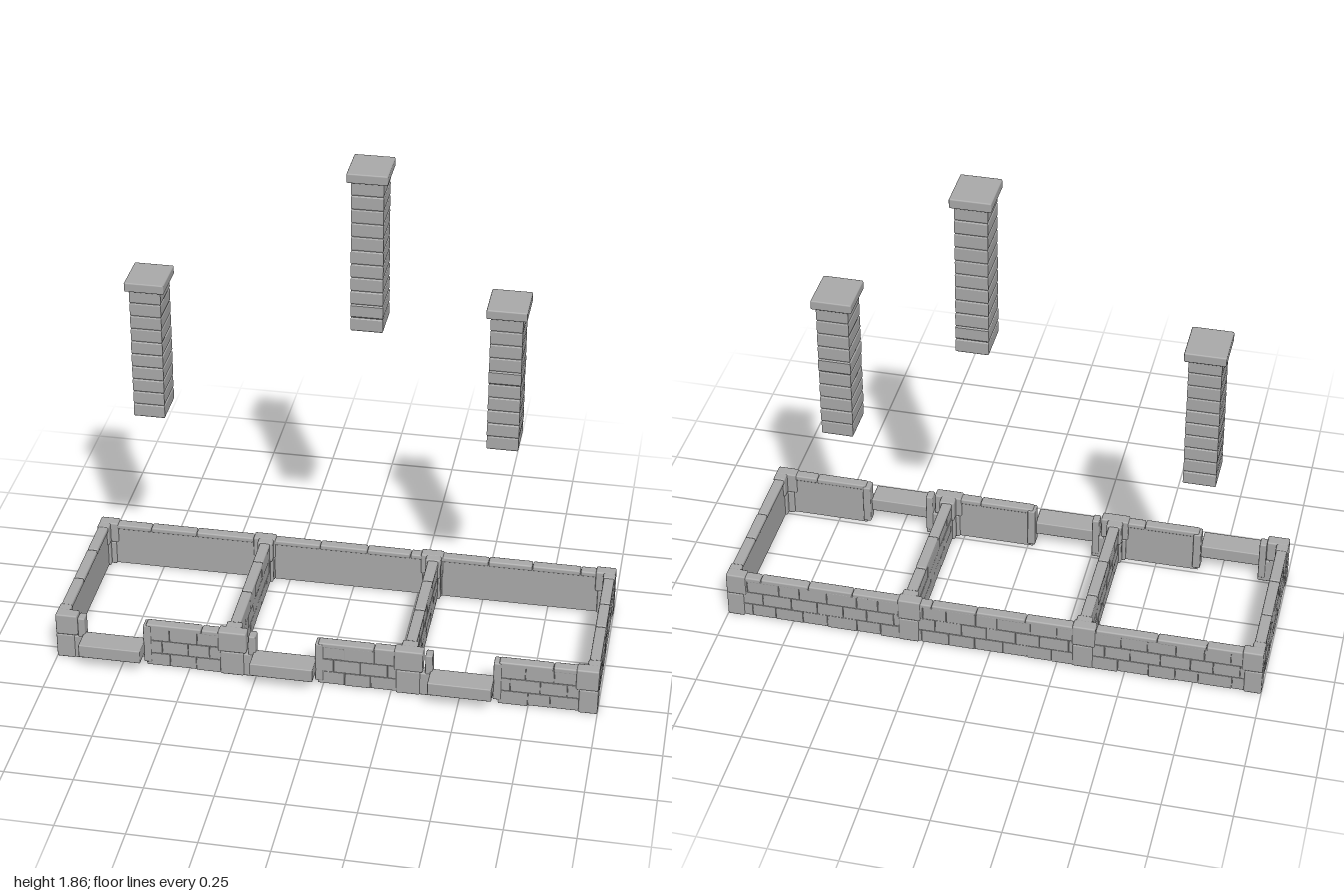
import * as THREE from 'three';
import { RoundedBoxGeometry } from 'three/addons/geometries/RoundedBoxGeometry.js';

const stone = new THREE.MeshStandardMaterial({ color: 0xaaaaaa });
stone.name = 'grey stone';
stone.side = THREE.DoubleSide;

// Small seeded generator for uneven stone lengths
let seed = 7;
const rand = () => (seed = (seed * 16807) % 2147483647) / 2147483647;

// Box from its limits; r > 0 rounds the edges
function block(parent, name, [x0, x1], [y0, y1], [z0, z1], r = 0) {
  const s = [x1 - x0, y1 - y0, z1 - z0];
  const geo = r ? new RoundedBoxGeometry(...s, 1, Math.min(r, Math.min(...s) * 0.45))
    : new THREE.BoxGeometry(...s);
  const mesh = new THREE.Mesh(geo, stone);
  mesh.name = name;
  mesh.position.set((x0 + x1) / 2, (y0 + y1) / 2, (z0 + z1) / 2);
  parent.add(mesh);
  return mesh;
}

// Splits a length into near-equal stones, with an optional half-stone offset
function stones(a, b, size, offset) {
  const cuts = [a];
  for (let p = a + size * (offset ? 0.5 : 1); p < b - size * 0.35; p += size) {
    cuts.push(p + (rand() - 0.5) * size * 0.25);
  }
  cuts.push(b);
  return cuts.slice(1).map((c, i) => [cuts[i] + 0.0006, c - 0.0006]);
}

// Wall along x or z: plain core, brick facing on the given sides, coping stones
function wall(parent, name, axis, [a, b], centre, sides) {
  const g = new THREE.Group();
  g.name = name;
  parent.add(g);
  const put = (part, along, y, across, r) => axis === 'x'
    ? block(g, part, along, y, across, r)
    : block(g, part, across, y, along, r);
  put('wallCore', [a, b], [0.008, 0.172], [centre - 0.015, centre + 0.015]);
  for (const side of sides) {
    for (let row = 0; row < 3; row++) {
      for (const span of stones(a, b, 0.1, row % 2)) {
        const face = centre + side * (0.0185 + rand() * 0.002);
        const back = centre + side * 0.011;
        const low = row ? 0.008 + row * 0.055 : 0.004 + rand() * 0.006;
        put('brick', span, [low, 0.0625 + row * 0.055],
          [Math.min(face, back), Math.max(face, back)], 0.002);
      }
    }
  }
  for (const span of stones(a, b, 0.19, false)) {
    put('copingStone', span, [0.164, 0.184 + rand() * 0.003],
      [centre - 0.02, centre + 0.02], 0.006);
  }
}

// Interlocking corner stones: one arm along x, one along z, in two layers
function quoin(parent, name, xArm, zArm, xWall, zWall) {
  const g = new THREE.Group();
  g.name = name;
  parent.add(g);
  const trim = ([a, b], [c, d]) => [a + (c - a) * 0.35, b + (d - b) * 0.35];
  block(g, 'upperStoneAlongX', xArm, [0.104, 0.19], zWall, 0.006);
  block(g, 'upperStoneAlongZ', xWall, [0.104, 0.189], zArm, 0.006);
  block(g, 'lowerStoneAlongX', trim(xArm, xWall), [0.004, 0.105], zWall, 0.006);
  block(g, 'lowerStoneAlongZ', xWall, [0.004, 0.105], trim(zArm, zWall), 0.006);
}

// Hollow four-sided chimney with bulging courses and a flat cap
function chimney(parent, x, z, bottom, top, courses) {
  const g = new THREE.Group();
  g.name = 'chimney';
  g.position.set(x, 0, z);
  parent.add(g);
  const h = (top - 0.034 - bottom) / courses;
  const pts = [];
  for (let i = 0; i < courses; i++) {
    const y = bottom + i * h;
    const bulge = 1 + rand() * 0.03;
    pts.push([0.97, y], [bulge, y + h * 0.1], [bulge, y + h * 0.9], [0.97, y + h]);
  }
  const profile = pts.map(([r, y]) => new THREE.Vector2(r * Math.SQRT1_2, y));
  const geo = new THREE.LatheGeometry(profile, 4).rotateY(Math.PI / 4)
    .scale(0.114, 1, 0.14).toNonIndexed();
  geo.computeVertexNormals();
  const shaft = new THREE.Mesh(geo, stone);
  shaft.name = 'chimneyShaft';
  g.add(shaft);
  block(g, 'chimneyCap', [-0.0725, 0.0725], [top - 0.036, top], [-0.083, 0.083], 0.005);
}

export function createModel() {
  const model = new THREE.Group();
  model.name = 'terraceStonework';
  seed = 7;
  const back = -0.35, front = 0.28;
  const partitions = [-0.34, 0.31];

  // Outer walls and the two dividing walls
  [[-0.98, -0.34], [-0.34, 0.31], [0.31, 0.98]].forEach((span) =>
    wall(model, 'backWall', 'x', span, back, [-1]));
  wall(model, 'rightEndWall', 'z', [back, front], -0.977, [-1]);
  wall(model, 'leftEndWall', 'z', [back, front], 0.977, [1]);
  for (const x of partitions) wall(model, 'dividingWall', 'z', [back, front], x, [-1, 1]);

  // Front wall pieces beside each doorway
  [[-0.66, -0.34], [-0.02, 0.31], [0.64, 0.98]].forEach((span) =>
    wall(model, 'frontWall', 'x', span, front, [1]));

  // Corner stones at the ends and where dividing walls meet the long walls
  const zf = [0.258, 0.304], zb = [-0.373, -0.328];
  const armF = [0.225, 0.304], armB = [-0.373, -0.3];
  for (const s of [-1, 1]) {
    const side = (a, b) => (s < 0 ? [-b, -a] : [a, b]);
    quoin(model, 'frontCorner', side(0.918, 1), armF, side(0.954, 1), zf);
    quoin(model, 'backCorner', side(0.925, 1), armB, side(0.954, 1), zb);
  }
  for (const x of partitions) {
    quoin(model, 'frontJunction', [x - 0.05, x + 0.055], armF, [x - 0.029, x + 0.029], zf);
    quoin(model, 'backJunction', [x - 0.05, x + 0.035], armB, [x - 0.029, x + 0.029], zb);
  }

  // Doorways: a jamb on both sides and a raised step in front
  for (const x of [-0.783, -0.143, 0.508]) {
    const g = new THREE.Group();
    g.name = 'doorway';
    model.add(g);
    block(g, 'doorJamb', [x - 0.135, x - 0.108], [0.02, 0.178], [0.255, 0.298], 0.005);
    block(g, 'doorJamb', [x + 0.113, x + 0.143], [0.02, 0.18], [0.255, 0.302], 0.005);
    block(g, 'lowerJambStone', [x - 0.16, x - 0.108], [0.004, 0.1], [0.258, 0.3], 0.005);
    block(g, 'doorStep', [x - 0.116, x + 0.116], [0.058, 0.111], [0.278, 0.37], 0.004);
  }

  // Chimneys
  chimney(model, -0.722, -0.186, 0.817, 1.371, 10);
  chimney(model, 0.081, -0.19, 1.25, 1.866, 11);
  chimney(model, 0.578, -0.186, 0.817, 1.387, 10);
  return model;
}
